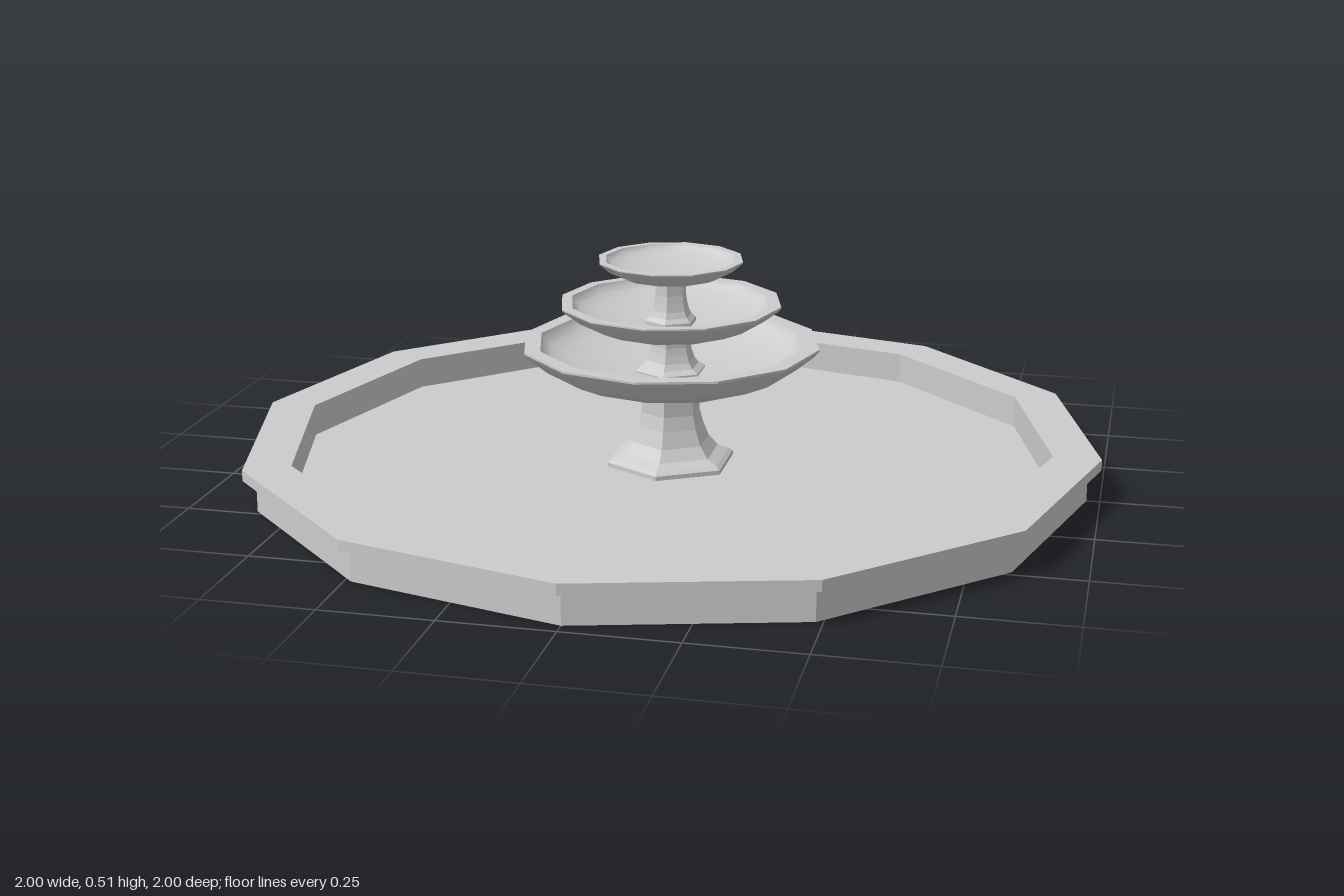
import * as THREE from 'three';

const stone = new THREE.MeshStandardMaterial({ color: 0xcccccc, side: THREE.DoubleSide });
stone.name = 'pale stone';

// Turned part from [radius, height] pairs, faceted unless smooth
function turned(name, profile, sides, smooth = false) {
  let geometry = new THREE.LatheGeometry(profile.map(([r, y]) => new THREE.Vector2(r, y)), sides);
  if (!smooth) {
    geometry = geometry.toNonIndexed();
    geometry.computeVertexNormals();
  }
  const mesh = new THREE.Mesh(geometry, stone);
  mesh.name = name;
  return mesh;
}

// Six-sided column: plinth, flared foot, slim neck and stepped collar
function column(name, y0, y1, base, neck) {
  const h = y1 - y0;
  const flare = base - neck;
  return turned(name, [
    [base, y0],
    [base, y0 + h * 0.15],
    [base * 0.93, y0 + h * 0.18],
    [neck + flare * 0.55, y0 + h * 0.23],
    [neck + flare * 0.28, y0 + h * 0.34],
    [neck + flare * 0.1, y0 + h * 0.5],
    [neck, y0 + h * 0.64],
    [neck, y0 + h * 0.86],
    [neck * 1.08, y0 + h * 0.88],
    [neck * 1.08, y0 + h * 0.94],
    [neck * 1.16, y0 + h * 0.96],
    [neck * 1.16, y1],
  ], 6);
}

// Twelve-sided dish: faceted shell and rim, smooth hollow
function bowl(name, bottom, top, foot, rim, lip) {
  const h = top - bottom;
  const group = new THREE.Group();
  group.name = name;
  group.add(turned(name + 'Shell', [
    [0, bottom],
    [foot, bottom],
    [foot + (rim - foot) * 0.55, bottom + h * 0.36],
    [rim * 0.972, bottom + h * 0.8],
    [rim, top - h * 0.06],
    [rim, top],
    [lip, top],
  ], 12));
  const hollow = [];
  for (let i = 0; i <= 8; i++) {
    const a = (i / 8) * Math.PI / 2;
    hollow.push([lip * Math.cos(a), top - h * 0.87 * Math.sin(a)]);
  }
  hollow[8][0] = 0;
  group.add(turned(name + 'Hollow', hollow, 12, true));
  return group;
}

export function createModel() {
  const model = new THREE.Group();
  model.name = 'tieredFountain';

  // Pool wall with overhanging coping
  model.add(turned('poolWall', [
    [0.89, 0], [0.97, 0], [0.97, 0.075], [1, 0.075], [1, 0.1], [0.89, 0.1], [0.89, 0],
  ], 12));

  // Pool floor, raised a little above the ground
  model.add(turned('poolFloor', [[0.89, 0.025], [0, 0.025]], 12));

  // Three columns, each carrying a smaller bowl
  model.add(column('lowerColumn', 0, 0.235, 0.155, 0.071));
  model.add(bowl('lowerBowl', 0.235, 0.318, 0.23, 0.35, 0.312));
  model.add(column('middleColumn', 0.235, 0.353, 0.085, 0.048));
  model.add(bowl('middleBowl', 0.353, 0.414, 0.165, 0.26, 0.235));
  model.add(column('upperColumn', 0.353, 0.477, 0.062, 0.037));
  model.add(bowl('upperBowl', 0.477, 0.515, 0.117, 0.17, 0.153));

  return model;
}
